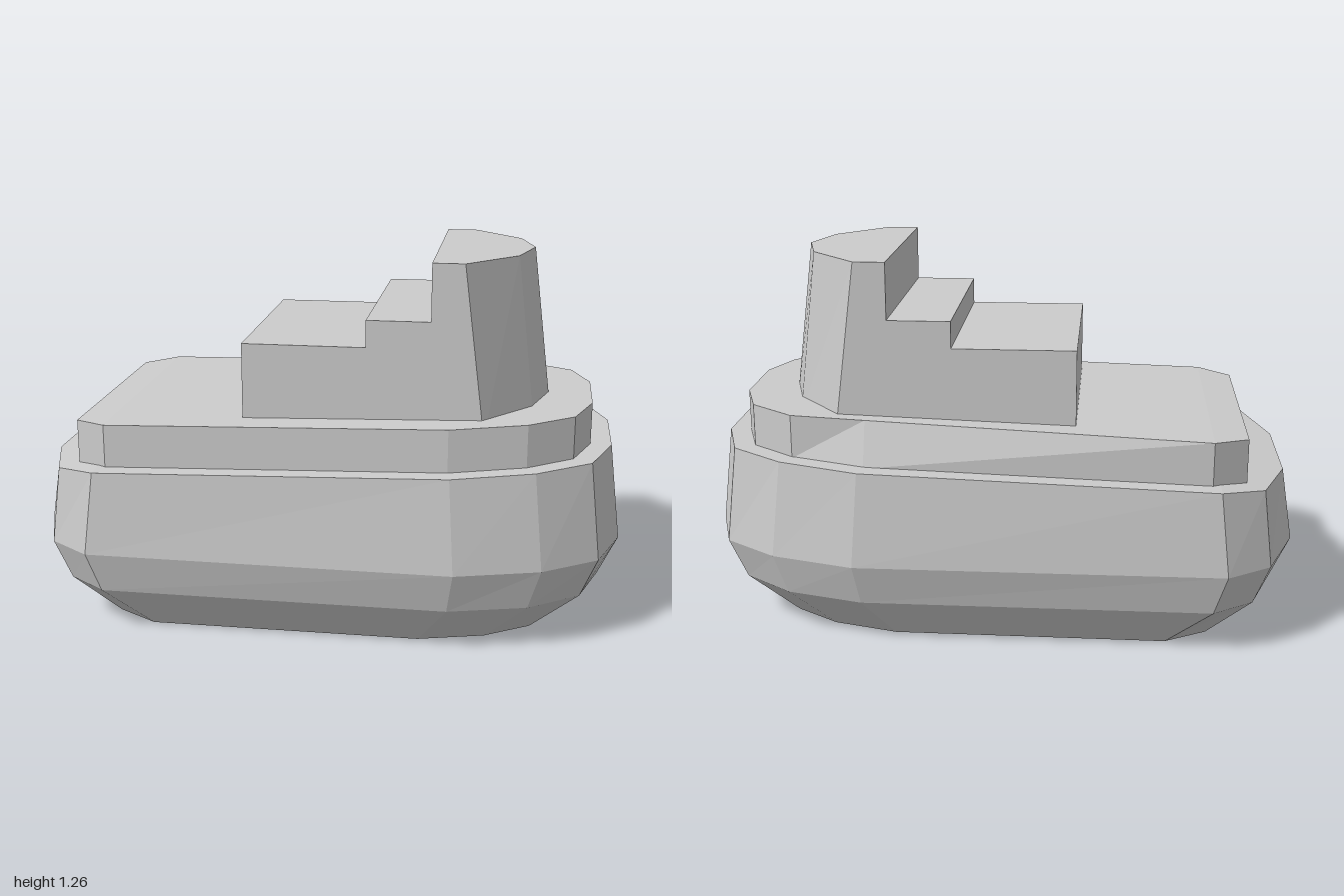
import * as THREE from 'three';

const material = new THREE.MeshStandardMaterial({ color: 0xcccccc, flatShading: true });

// Full ring from one half outline [x, z], stern to bow, mirrored across z = 0
function ring(half, y) {
  const height = typeof y === 'function' ? y : () => y;
  const left = half.map(([x, z]) => [x, height(x), z]);
  const right = left.filter(p => p[2] > 0).map(([x, h, z]) => [x, h, -z]).reverse();
  return [...left, ...right];
}

// Closed faceted solid through a stack of rings
function loft(name, rings) {
  const pos = [];
  const tri = (a, b, c) => pos.push(...a, ...b, ...c);
  const n = rings[0].length;
  for (let k = 0; k < rings.length - 1; k++) {
    const a = rings[k], b = rings[k + 1];
    for (let i = 0; i < n; i++) {
      const j = (i + 1) % n;
      tri(a[i], a[j], b[j]);
      tri(a[i], b[j], b[i]);
    }
  }
  // Caps made of strips running across the beam
  const bottom = rings[0], top = rings[rings.length - 1];
  for (let i = 0; i + 1 <= n - 2 - i; i++) {
    const p = i + 1, q = n - 2 - i, r = n - 1 - i;
    tri(top[i], top[p], top[r]);
    tri(bottom[i], bottom[r], bottom[p]);
    if (p < q) {
      tri(top[p], top[q], top[r]);
      tri(bottom[p], bottom[r], bottom[q]);
    }
  }
  const geometry = new THREE.BufferGeometry();
  geometry.setAttribute('position', new THREE.Float32BufferAttribute(pos, 3));
  geometry.computeVertexNormals();
  const mesh = new THREE.Mesh(geometry, material);
  mesh.name = name;
  return mesh;
}

// Sheer lines: the decks rise gently to the bow and dip at the stern
const hullTop = x => (x < -0.73 ? 0.57 + (x + 0.73) * 0.13 : 0.57 + (x + 0.73) * 0.03);
const deckTop = x => (x < -0.705 ? 0.715 + (x + 0.705) * 0.08 : 0.715 + (x + 0.705) * 0.029);

export function createModel() {
  const model = new THREE.Group();
  model.name = 'boat';

  // Hull: flat bottom, rounded bilge, widest belt, inward-leaning sides
  const bottom = [[-0.77, 0.16], [-0.71, 0.36], [-0.57, 0.445], [0.34, 0.445], [0.56, 0.385], [0.71, 0.285], [0.765, 0.12]];
  const bilge = [[-0.935, 0.19], [-0.855, 0.44], [-0.72, 0.54], [0.44, 0.545], [0.7, 0.475], [0.87, 0.35], [0.935, 0.14]];
  const belt = [[-1, 0.2], [-0.905, 0.47], [-0.76, 0.575], [0.46, 0.585], [0.74, 0.505], [0.925, 0.375], [1, 0.15]];
  const rim = [[-0.96, 0.2], [-0.875, 0.46], [-0.73, 0.555], [0.44, 0.555], [0.71, 0.48], [0.89, 0.36], [0.96, 0.15]];
  model.add(loft('hull', [ring(bottom, 0), ring(bilge, 0.15), ring(belt, 0.29), ring(rim, hullTop)]));

  // Raised deck, with one top corner cut off on the -z side
  const deck = [[-0.82, 0.41], [-0.705, 0.488], [0.43, 0.488], [0.68, 0.42], [0.83, 0.315], [0.89, 0.14]];
  const upper = ring(deck, deckTop);
  upper[9][2] = -0.433;
  model.add(loft('raisedDeck', [ring(deck, x => hullTop(x) - 0.005), upper]));

  // Stepped cabin
  const cabin = new THREE.Group();
  cabin.name = 'cabin';
  const base = 0.69, w = 0.376;
  for (const [name, x0, x1, top] of [['rearStep', -0.26, 0.15, 0.98], ['middleStep', 0.15, 0.36, 1.07]]) {
    const outline = [[x0, w], [x1, w]];
    cabin.add(loft(name, [ring(outline, base), ring(outline, top)]));
  }

  // Wheelhouse with a faceted front that leans back
  const foot = [[0.36, w], [0.538, w], [0.697, 0.19], [0.752, 0]];
  const roof = [[0.36, w], [0.465, w], [0.63, 0.19], [0.68, 0]];
  cabin.add(loft('wheelhouse', [ring(foot, base), ring(roof, 1.26)]));
  model.add(cabin);

  return model;
}
